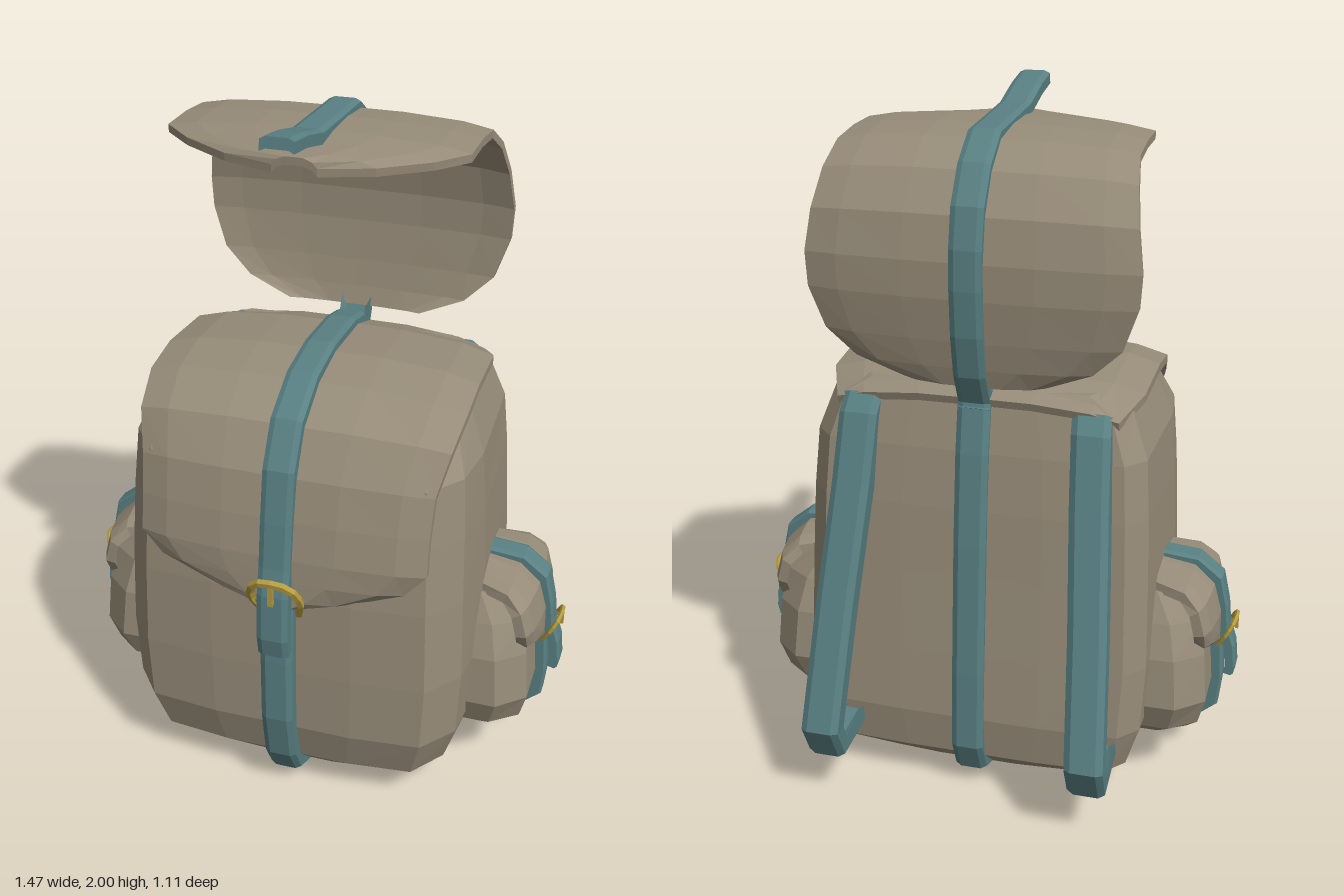
import * as THREE from 'three';

const canvas = new THREE.MeshStandardMaterial({ color: 0x978c79 });
canvas.name = 'tan canvas';
const leather = new THREE.MeshStandardMaterial({ color: 0x598083 });
leather.name = 'teal leather';
const brass = new THREE.MeshStandardMaterial({ color: 0xb59c3f });
brass.name = 'brass';

function add(parent, name, geometry, material) {
  const mesh = new THREE.Mesh(geometry, material);
  mesh.name = name;
  parent.add(mesh);
  return mesh;
}

// Faceted geometry from a flat list of triangle corners
function facets(tris) {
  const g = new THREE.BufferGeometry().setFromPoints(tris);
  g.computeVertexNormals();
  return g;
}

// Capped solid through rings of equal, even length, always facing outwards
function loft(rings) {
  const tris = [], m = rings[0].length;
  const quad = (a, b, c, d) => tris.push(a, b, c, a, c, d);
  for (let r = 0; r < rings.length - 1; r++) {
    const p = rings[r], q = rings[r + 1];
    for (let i = 0; i < m; i++) {
      const j = (i + 1) % m;
      quad(p[i], p[j], q[j], q[i]);
    }
  }
  const first = rings[0], last = rings[rings.length - 1];
  for (let i = 0; i < m / 2 - 1; i++) {
    quad(first[m - 1 - i], first[m - 2 - i], first[i + 1], first[i]);
    quad(last[i], last[i + 1], last[m - 2 - i], last[m - 1 - i]);
  }
  let volume = 0;
  const cross = new THREE.Vector3();
  for (let i = 0; i < tris.length; i += 3) {
    volume += tris[i].dot(cross.crossVectors(tris[i + 1], tris[i + 2]));
  }
  return facets(volume < 0 ? tris.reverse() : tris);
}

// Thick band along a path of [z, y, halfWidth, x]; its outer side is left of travel
function band(path, thickness, droop, us) {
  return loft(path.map(([z, y, w, x = 0], i) => {
    const a = path[Math.max(i - 1, 0)], b = path[Math.min(i + 1, path.length - 1)];
    const n = new THREE.Vector2(-(b[1] - a[1]), b[0] - a[0]).normalize();
    const at = (u, depth) => {
      const d = -depth - droop * u ** 4;
      return new THREE.Vector3(x + u * w, y + n.y * d, z + n.x * d);
    };
    return [...us.map((u) => at(u, 0)), ...[...us].reverse().map((u) => at(u, thickness))];
  }));
}

const strap = (path, w, t = 0.03) =>
  band(path.map(([z, y, x]) => [z, y, w, x]), t, t * 0.3, [-1, -0.65, 0.65, 1]);
const flap = (path, t, droop) =>
  band(path, t, droop, [-1, -0.8, -0.4, 0, 0.4, 0.8, 1]);

// Arched buckle with a prong, its top at [z, y]
function buckle(parent, z, y, s) {
  const arch = [[-0.055, -0.13, -0.07], [-0.072, -0.06, -0.03], [-0.045, 0, 0],
    [0.045, 0, 0], [0.072, -0.06, -0.03], [0.055, -0.13, -0.07]];
  const curve = new THREE.CatmullRomCurve3(
    arch.map(([a, b, c]) => new THREE.Vector3(a * s, y + b * s, z + c * s)));
  const tube = new THREE.TubeGeometry(curve, 12, 0.012 * s, 5).toNonIndexed();
  tube.computeVertexNormals();
  add(parent, 'buckleArch', tube, brass);
  const prong = add(parent, 'bucklePin', new THREE.BoxGeometry(0.014 * s, 0.06 * s, 0.014 * s), brass);
  prong.position.set(0, y - 0.03 * s, z + 0.006 * s);
}

// Main bag: rows of [y, halfWidth, frontZ, backZ]
function bag() {
  const rows = [
    [0.04, 0.30, 0.37, -0.23], [0.12, 0.47, 0.45, -0.32], [0.25, 0.51, 0.485, -0.335],
    [0.45, 0.52, 0.485, -0.32], [0.7, 0.512, 0.475, -0.3], [0.9, 0.503, 0.455, -0.285],
    [1.07, 0.49, 0.435, -0.265], [1.2, 0.44, 0.35, -0.24], [1.24, 0.36, 0.22, -0.2],
  ];
  return loft(rows.map(([y, w, f, b]) => {
    const half = [[0.4, f], [0.8, f - 0.02], [0.96, f - 0.12], [1, (f + b) / 2 + 0.08],
      [0.97, b + 0.07], [0.86, b + 0.01], [0.4, b]];
    return [...half.map(([u, z]) => new THREE.Vector3(u * w, y, z)),
      ...[...half].reverse().map(([u, z]) => new THREE.Vector3(-u * w, y, z))];
  }));
}

// Side pocket, built facing +z and turned outwards afterwards
function pocket() {
  const g = new THREE.Group();
  const rows = [[0.17, 0.17, 0.61], [0.21, 0.215, 0.645], [0.3, 0.25, 0.667],
    [0.45, 0.235, 0.655], [0.55, 0.2, 0.635], [0.63, 0.16, 0.59]];
  add(g, 'pocketBody', loft(rows.map(([y, w, f]) =>
    [[-w, 0.42], [-w, f - 0.08], [-0.72 * w, f], [0.72 * w, f], [w, f - 0.08], [w, 0.42]]
      .map(([x, z]) => new THREE.Vector3(x, y, z)))), canvas);
  add(g, 'pocketFlap', flap([[0.48, 0.69, 0.14], [0.6, 0.67, 0.17], [0.66, 0.615, 0.195],
    [0.683, 0.53, 0.195], [0.685, 0.47, 0.165], [0.685, 0.43, 0.08]], 0.03, 0.03), canvas);
  add(g, 'pocketUpperStrap', strap([[0.48, 0.705], [0.61, 0.692], [0.682, 0.635], [0.703, 0.54],
    [0.71, 0.47], [0.73, 0.41], [0.737, 0.34], [0.73, 0.31]], 0.037, 0.025), leather);
  add(g, 'pocketLowerStrap', strap([[0.69, 0.47], [0.7, 0.3], [0.69, 0.2], [0.64, 0.157],
    [0.48, 0.165]], 0.037, 0.03), leather);
  buckle(g, 0.725, 0.495, 0.64);
  return g;
}

// Shoulder strap with a gusset on its outer side
function shoulderStrap(side) {
  const g = new THREE.Group();
  const path = [[-0.3, 0.17, 0.38], [-0.49, 0.155, 0.385], [-0.55, 0.27, 0.385],
    [-0.44, 0.63, 0.365], [-0.335, 0.97, 0.34], [-0.28, 1.16, 0.33], [-0.24, 1.21, 0.325]]
    .map(([z, y, x]) => [z, y, x * side]);
  add(g, 'shoulderBand', strap(path, 0.055, 0.05), leather);
  const tris = [];
  const edge = path.slice(1, 6).map(([z, y, x]) => [
    new THREE.Vector3(x + 0.04 * side, y, z + 0.015),
    new THREE.Vector3(x + 0.02 * side, y, -0.335 + 0.075 * y),
  ]);
  for (let i = 0; i < edge.length - 1; i++) {
    const [a, b] = edge[i], [c, d] = edge[i + 1];
    tris.push(a, c, d, a, d, b);
  }
  add(g, 'strapGusset', facets(side > 0 ? tris : tris.reverse()), leather);
  return g;
}

export function createModel() {
  const model = new THREE.Group();
  model.name = 'backpack';
  add(model, 'bagBody', bag(), canvas);

  // Closed lid over the top and front
  add(model, 'closedFlap', flap([[-0.25, 1.225, 0.4], [-0.12, 1.27, 0.45], [0.1, 1.285, 0.455],
    [0.25, 1.262, 0.455], [0.38, 1.19, 0.44], [0.45, 1.07, 0.415], [0.48, 0.95, 0.41],
    [0.5, 0.84, 0.41], [0.505, 0.77, 0.35], [0.508, 0.71, 0.2], [0.51, 0.68, 0.07]],
  0.025, 0.04), canvas);

  // Raised lid, curling forwards above the bag
  add(model, 'openFlap', flap([[-0.27, 1.265, 0.2], [-0.285, 1.32, 0.33], [-0.3, 1.4, 0.41],
    [-0.315, 1.52, 0.45], [-0.315, 1.62, 0.455], [-0.292, 1.74, 0.44], [-0.225, 1.845, 0.425],
    [-0.13, 1.91, 0.412], [0, 1.925, 0.41], [0.13, 1.925, 0.41], [0.2, 1.918, 0.33],
    [0.27, 1.912, 0.2], [0.31, 1.91, 0.06]], 0.022, 0.025), canvas);

  // Centre straps
  add(model, 'bagStrap', strap([[0.51, 0.74], [0.527, 0.5], [0.53, 0.3], [0.505, 0.15],
    [0.455, 0.06], [0.36, 0.015], [0.05, 0], [-0.2, 0.015], [-0.31, 0.06], [-0.355, 0.16],
    [-0.345, 0.4], [-0.315, 0.8], [-0.285, 1.07], [-0.255, 1.22]], 0.047, 0.04), leather);
  add(model, 'closedFlapStrap', strap([[-0.26, 1.2], [-0.2, 1.275], [-0.1, 1.3], [0.1, 1.313],
    [0.26, 1.293], [0.4, 1.22], [0.475, 1.1], [0.505, 0.95], [0.525, 0.82], [0.545, 0.74],
    [0.555, 0.6], [0.545, 0.54]], 0.045), leather);
  add(model, 'openFlapStrap', strap([[-0.25, 1.2], [-0.3, 1.3], [-0.325, 1.42], [-0.335, 1.55],
    [-0.332, 1.66], [-0.307, 1.77], [-0.235, 1.87], [-0.13, 1.937], [0.05, 1.945], [0.2, 1.952],
    [0.33, 1.985], [0.43, 2.0]], 0.045), leather);
  const mainBuckle = new THREE.Group();
  mainBuckle.name = 'mainBuckle';
  buckle(mainBuckle, 0.545, 0.78, 1);
  model.add(mainBuckle);

  // Mirrored pockets and shoulder straps
  for (const side of [1, -1]) {
    const p = pocket();
    p.name = side > 0 ? 'leftPocket' : 'rightPocket';
    p.rotation.y = side * Math.PI / 2;
    p.position.z = 0.035;
    const s = shoulderStrap(side);
    s.name = side > 0 ? 'leftShoulderStrap' : 'rightShoulderStrap';
    model.add(p, s);
  }
  return model;
}
